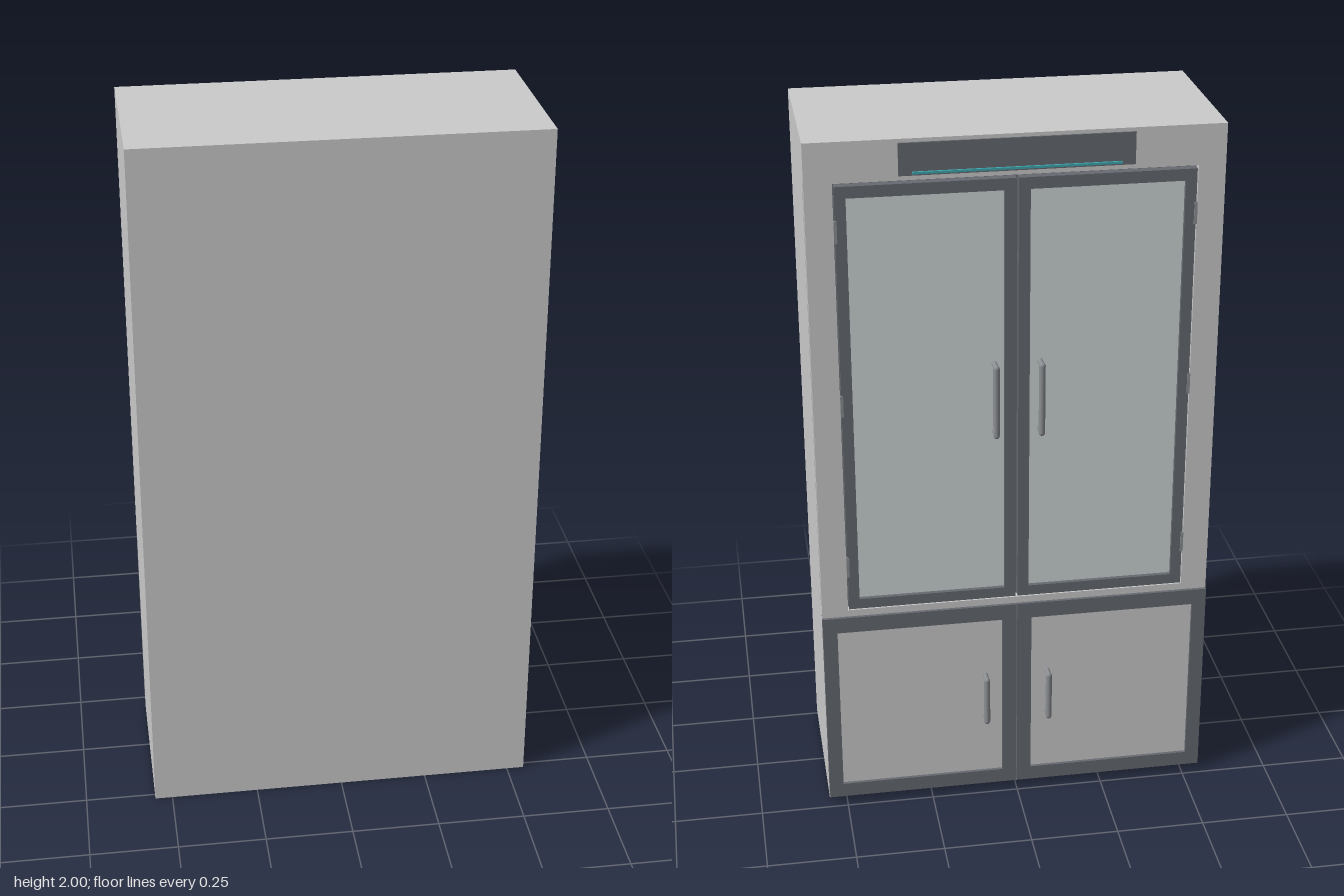
import * as THREE from 'three';

const mat = (color) => new THREE.MeshStandardMaterial({ color });

export function createModel() {
  const group = new THREE.Group();
  const grey = mat(0xcccccc), dark = mat(0x666a70), glass = mat(0xced6d6);
  const metal = mat(0x8c8f93), teal = mat(0x3fa9b0);

  // Box given by its min and max along each axis
  function box(name, m, x0, x1, y0, y1, z0, z1, parent = group) {
    const mesh = new THREE.Mesh(new THREE.BoxGeometry(x1 - x0, y1 - y0, z1 - z0), m);
    mesh.position.set((x0 + x1) / 2, (y0 + y1) / 2, (z0 + z1) / 2);
    mesh.name = name;
    parent.add(mesh);
    return mesh;
  }

  // Rectangular frame with openings [x0, x1, y0, y1], extruded in z
  function frame(name, m, [x0, x1, y0, y1], holes, z0, z1) {
    const rect = (P, a, b, c, d) => new P([
      new THREE.Vector2(a, c), new THREE.Vector2(b, c),
      new THREE.Vector2(b, d), new THREE.Vector2(a, d)]);
    const shape = rect(THREE.Shape, x0, x1, y0, y1);
    shape.holes = holes.map((h) => rect(THREE.Path, ...h));
    const geo = new THREE.ExtrudeGeometry(shape, { depth: z1 - z0, bevelEnabled: false });
    const mesh = new THREE.Mesh(geo, m);
    mesh.position.z = z0;
    mesh.name = name;
    group.add(mesh);
  }

  // Round pull: grip bar on two posts with rounded ends
  function handle(name, x, y0, y1, zFace, zBar, r) {
    const g = new THREE.Group();
    g.name = name;
    const grip = new THREE.Mesh(new THREE.CapsuleGeometry(r, y1 - y0 - 2 * r, 4, 14), metal);
    grip.position.set(x, (y0 + y1) / 2, zBar);
    grip.name = 'grip';
    g.add(grip);
    for (const y of [y0 + r, y1 - r]) {
      const post = new THREE.Mesh(
        new THREE.CylinderGeometry(r * 0.8, r * 0.8, zFace - zBar, 14), metal);
      post.rotation.x = Math.PI / 2;
      post.position.set(x, y, (zFace + zBar) / 2);
      post.name = 'post';
      g.add(post);
    }
    group.add(g);
  }

  // Cabinet body, with the header standing forward above the doors
  box('body', grey, -0.55, 0.55, 0, 2, -0.19, 0.27);
  box('header', grey, -0.55, 0.55, 1.89, 2, -0.226, -0.19);
  box('lowerFace', grey, -0.55, 0.55, 0, 0.62, -0.203, -0.19);
  box('ledge', grey, -0.55, 0.55, 0.62, 0.642, -0.226, -0.19);

  // Recessed dark surround and light side panels
  box('recess', dark, -0.546, 0.546, 0.642, 1.89, -0.204, -0.19);
  for (const s of [-1, 1]) {
    const panel = box('sidePanel', grey, -0.0365, 0.0365, 0.642, 1.89, -0.226, -0.204);
    panel.position.x = s * 0.5135;
  }

  for (const s of [-1, 1]) {
    const span = (a, b) => (s > 0 ? [a, b] : [-b, -a]);

    // Upper glass door
    const pane = [...span(0.034, 0.444), 0.676, 1.85];
    frame('upperDoorFrame', dark, [...span(0.003, 0.474), 0.646, 1.882], [pane], -0.228, -0.204);
    box('glassPane', glass, ...pane, -0.216, -0.204);
    for (const y of [0.78, 1.27, 1.76]) {
      box('hinge', metal, ...span(0.469, 0.477), y - 0.03, y + 0.03, -0.231, -0.22);
    }
    handle('upperHandle', s * 0.062, 1.16, 1.375, -0.226, -0.263, 0.009);

    // Lower solid door
    const inset = [...span(0.042, 0.51), 0.065, 0.575];
    frame('lowerDoorFrame', dark, [...span(0.001, 0.55), 0.022, 0.622], [inset], -0.235, -0.203);
    box('lowerPanel', grey, ...inset, -0.226, -0.203);
    handle('lowerHandle', s * 0.09, 0.245, 0.4, -0.224, -0.258, 0.009);
  }

  // Header plate with its thin light strip
  box('headerPlate', dark, -0.308, 0.308, 1.903, 1.99, -0.231, -0.226);
  box('lightStrip', teal, -0.273, 0.273, 1.908, 1.914, -0.237, -0.231);

  return group;
}
